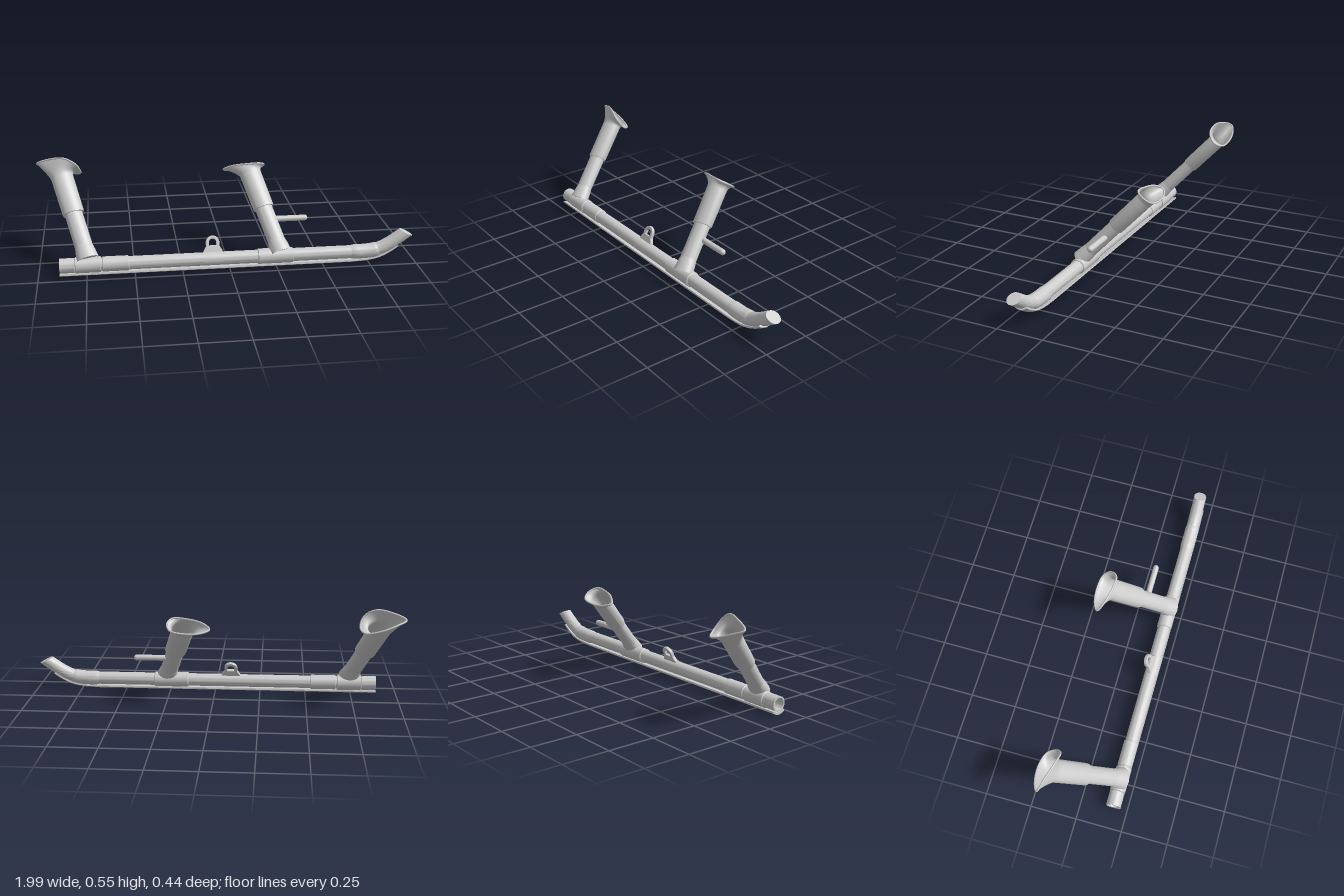
import * as THREE from 'three';
import { toCreasedNormals } from 'three/addons/utils/BufferGeometryUtils.js';

const V = (x, y, z) => new THREE.Vector3(x, y, z);
const N = 32; // points around a section
const AXIS_Y = 0.055, AXIS_Z = 0.175; // centre line of the skid
const material = new THREE.MeshStandardMaterial({ color: 0xcccccc, side: THREE.DoubleSide });

function add(group, name, geometry) {
  const mesh = new THREE.Mesh(geometry, material);
  mesh.name = name;
  group.add(mesh);
  return mesh;
}

// Skin over a row of closed sections, with optional end caps
function loft(sections, capStart = false, capEnd = false) {
  const n = sections[0].length, pos = [], idx = [];
  sections.forEach(s => s.forEach(p => pos.push(p.x, p.y, p.z)));
  for (let i = 0; i < sections.length - 1; i++) {
    for (let j = 0; j < n; j++) {
      const a = i * n + j, b = i * n + (j + 1) % n;
      idx.push(a, b, a + n, b, b + n, a + n);
    }
  }
  const cap = (row, flip) => {
    const c = pos.length / 3;
    const mid = sections[row].reduce((m, p) => m.add(p), V(0, 0, 0)).divideScalar(n);
    pos.push(mid.x, mid.y, mid.z);
    for (let j = 0; j < n; j++) {
      const a = row * n + j, b = row * n + (j + 1) % n;
      idx.push(c, flip ? b : a, flip ? a : b);
    }
  };
  if (capStart) cap(0, true);
  if (capEnd) cap(sections.length - 1, false);
  const g = new THREE.BufferGeometry();
  g.setAttribute('position', new THREE.Float32BufferAttribute(pos, 3));
  g.setIndex(idx);
  return toCreasedNormals(g, 0.6);
}

const oval = (c, u, v) => Array.from({ length: N }, (_, j) => {
  const a = (j / N) * Math.PI * 2;
  return c.clone().addScaledVector(u, Math.cos(a)).addScaledVector(v, Math.sin(a));
});

// Centre line of the upturned toe
const toePath = new THREE.CatmullRomCurve3([
  [0.65, 0.055], [0.74, 0.056], [0.8, 0.065], [0.86, 0.092], [0.91, 0.124], [0.955, 0.155],
].map(([x, y]) => V(x, y, AXIS_Z)));

// Centre and upward direction on the toe, t from 0 to 1
function toeFrame(t) {
  const d = toePath.getTangent(t);
  return { c: toePath.getPoint(t), up: t < 0.02 ? V(0, 1, 0) : V(-d.y, d.x, 0) };
}

// Round section across the skid
const ring = (x, r) => oval(V(x, AXIS_Y, AXIS_Z), V(0, r, 0), V(0, 0, r));
const sleeve = (x0, x1, r) => loft(
  [ring(x0, r - 0.004), ring(x0 + 0.003, r), ring(x1 - 0.003, r), ring(x1, r - 0.004)], true, true);

function buildRunner(g) {
  const r = 0.035;
  // Tube, straight and then bent, ending in a slanted cut
  const sections = [ring(-0.87, r), ring(-0.3, r), ring(0.3, r)];
  for (let i = 0; i < 20; i++) {
    const { c, up } = toeFrame((i / 20) * 0.92);
    sections.push(oval(c, up.multiplyScalar(r), V(0, 0, r)));
  }
  sections.push(oval(toePath.getPoint(1), V(-0.035, 0.0175, 0), V(0, 0, r)));
  add(g, 'skidTube', loft(sections, false, true));

  // Hollow rear end
  add(g, 'rearEndSleeve', loft([ring(-0.8, 0.03), ring(-0.89, 0.031), ring(-0.89, 0.039),
    ring(-0.813, 0.039), ring(-0.81, 0.034)], true));
  add(g, 'rearSaddle', sleeve(-0.81, -0.675, 0.042));
  add(g, 'rearJointSleeve', sleeve(-0.67, -0.53, 0.0395));
  add(g, 'frontSaddle', sleeve(0.15, 0.34, 0.041));

  // Sleeve around the start of the bend
  const collar = [];
  for (let i = 0; i <= 10; i++) {
    const { c, up } = toeFrame(0.01 + (i / 10) * 0.4);
    const k = i === 0 || i === 10 ? 0.035 : 0.039;
    collar.push(oval(c, up.multiplyScalar(k), V(0, 0, k)));
  }
  add(g, 'toeSleeve', loft(collar));

  // Curved wear plate along the underside
  const plate = (c, up, drop) => {
    const pts = [];
    for (let j = 0; j <= 8; j++) {
      const s = j / 4 - 1;
      pts.push(c.clone().addScaledVector(up, -drop + 0.014 * s * s).add(V(0, 0, -s * 0.038)));
    }
    for (let j = 8; j >= 0; j--) {
      const s = j / 4 - 1;
      pts.push(c.clone().addScaledVector(up, -drop + 0.012 + 0.01 * s * s).add(V(0, 0, -s * 0.036)));
    }
    return pts.reverse();
  };
  const rows = [plate(V(-0.89, AXIS_Y, AXIS_Z), V(0, 1, 0), 0.055)];
  for (let i = 0; i <= 14; i++) {
    const t = i / 14;
    const { c, up } = toeFrame(t * 0.72);
    rows.push(plate(c, up, 0.055 - 0.014 * t));
  }
  add(g, 'wearPlate', loft(rows, true, true));
}

// Leaning leg: base is the axis point at the skid, rim the flared mouth
function buildLeg(name, base, top, rim) {
  const g = new THREE.Group();
  g.name = name;
  const slope = V(-0.35, 1, -0.92), n = slope.clone().normalize();
  const u = V(1, 0, 0).addScaledVector(n, -n.x).normalize();
  const v = n.clone().cross(u);
  const at = y => base.clone().addScaledVector(slope, y - base.y);
  const cut = (y, a, b) => oval(at(y), u.clone().multiplyScalar(a), v.clone().multiplyScalar(b));
  const y0 = base.y, step = y0 + 0.165;

  add(g, 'lowerStrut', loft([cut(y0 - 0.02, 0.047, 0.038), cut(step + 0.03, 0.047, 0.038)], true, true));
  add(g, 'strutFoot', loft([cut(y0 - 0.025, 0.058, 0.045), cut(y0 + 0.005, 0.053, 0.042),
    cut(y0 + 0.03, 0.047, 0.038)]));
  add(g, 'upperSleeve', loft([cut(step, 0.047, 0.038), cut(step, 0.055, 0.0435),
    cut(step + 0.005, 0.057, 0.0445), cut(top, 0.059, 0.0455)]));

  // Mouth spreading from the sleeve to the rim
  const curve = new THREE.CatmullRomCurve3(rim.map(p => V(...p)), true);
  const edge = Array.from({ length: N }, (_, j) => curve.getPoint(j / N));
  const inner = cut(top, 0.059, 0.0455), rows = [];
  for (let i = 0; i <= 6; i++) {
    const t = i / 6;
    rows.push(inner.map((p, j) => p.clone().lerp(edge[j], t * t)
      .addScaledVector(n, 0.012 * Math.sin(Math.PI * t))));
  }
  add(g, 'flaredMouth', loft(rows));
  add(g, 'mouthLip', new THREE.TubeGeometry(curve, 72, 0.005, 8, true));
  return g;
}

function buildEyelet() {
  const g = new THREE.Group();
  g.name = 'tieDownBracket';
  // Plate with a rounded eye
  const s = new THREE.Shape();
  s.moveTo(-0.052, 0);
  s.lineTo(0.052, 0);
  s.lineTo(0.048, 0.016);
  s.lineTo(0.034, 0.04);
  s.lineTo(0.034, 0.06);
  s.absarc(0, 0.06, 0.034, 0, Math.PI, false);
  s.lineTo(-0.034, 0.04);
  s.lineTo(-0.048, 0.016);
  s.closePath();
  const hole = new THREE.Path();
  hole.moveTo(-0.021, 0.043);
  hole.lineTo(-0.021, 0.06);
  hole.absarc(0, 0.06, 0.021, Math.PI, 0, true);
  hole.lineTo(0.021, 0.043);
  hole.closePath();
  s.holes.push(hole);
  const eye = add(g, 'eyePlate', new THREE.ExtrudeGeometry(s,
    { depth: 0.012, bevelEnabled: true, bevelThickness: 0.003, bevelSize: 0.002, bevelSegments: 2, curveSegments: 16 }));
  eye.position.set(-0.087, 0.078, 0.165);
  eye.rotation.x = -0.42;
  // Saddle strap over the tube
  const strap = add(g, 'bracketSaddle', new THREE.CylinderGeometry(0.038, 0.038, 0.104, 24, 1, true, -0.2, 2.2));
  strap.rotation.z = Math.PI / 2;
  strap.rotation.x = 0;
  strap.position.set(-0.087, AXIS_Y, AXIS_Z);
  return g;
}

export function createModel() {
  const model = new THREE.Group();
  model.name = 'landingSkid';
  buildRunner(model);

  model.add(buildLeg('rearLeg', V(-0.75, 0.115, 0.165), 0.435, [
    [-0.765, 0.455, -0.15], [-0.79, 0.436, -0.193], [-0.86, 0.45, -0.211], [-0.95, 0.483, -0.2],
    [-0.995, 0.505, -0.175], [-0.925, 0.535, -0.15], [-0.845, 0.543, -0.125], [-0.785, 0.508, -0.117]]));
  model.add(buildLeg('frontLeg', V(0.265, 0.1, 0.165), 0.415, [
    [0.232, 0.46, -0.15], [0.215, 0.432, -0.188], [0.15, 0.42, -0.202], [0.06, 0.42, -0.193],
    [0.01, 0.436, -0.165], [0.05, 0.462, -0.138], [0.13, 0.477, -0.117], [0.205, 0.48, -0.114]]));

  // Step peg on the front leg
  const peg = add(model, 'stepPeg', new THREE.CapsuleGeometry(0.016, 0.17, 8, 20));
  peg.rotation.z = Math.PI / 2;
  peg.position.set(0.339, 0.215, 0.05);

  model.add(buildEyelet());
  return model;
}
